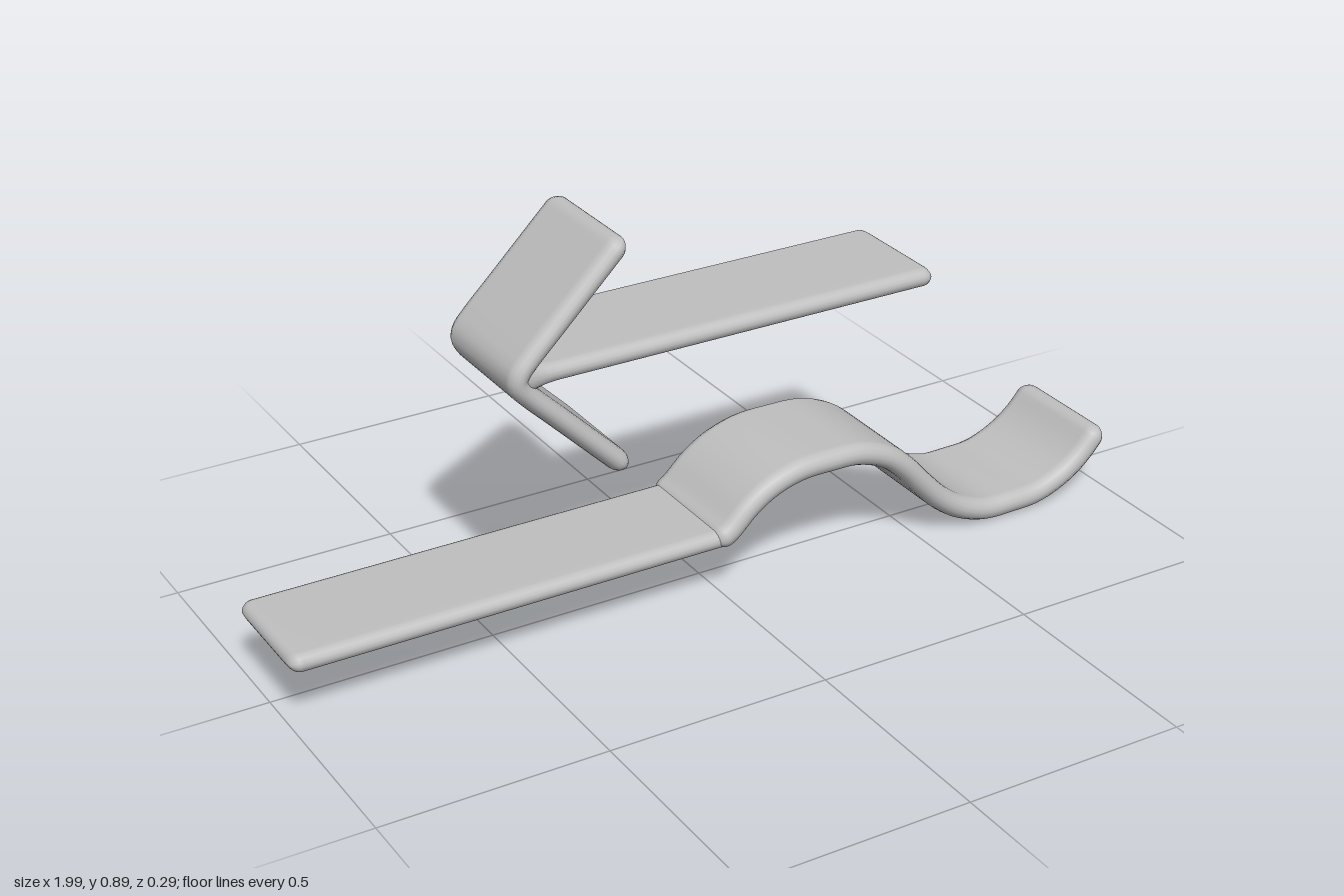
import * as THREE from 'three';

const HALF_PI = Math.PI / 2;

// Sweeps a soft-edged strip along a path in the xy plane, with rounded ends.
// thickness is a function of the distance from the start of the path.
function strip(name, points, halfWidth, thickness, round, steps, material) {
  const curve = new THREE.CatmullRomCurve3(points.map(([x, y]) => new THREE.Vector3(x, y, 0)));
  curve.arcLengthDivisions = 600;
  const length = curve.getLength();

  // Stations: distance along the path and how far the end rounding has opened
  const stations = [];
  const capSteps = 6;
  for (let i = 0; i < capSteps; i++) {
    const a = (i / capSteps) * HALF_PI;
    stations.push([round * (1 - Math.cos(a)), Math.sin(a)]);
  }
  const ends = stations.map(([d, open]) => [length - d, open]).reverse();
  for (let i = 0; i <= steps; i++) stations.push([round + (length - 2 * round) * (i / steps), 1]);
  stations.push(...ends);

  // Cross-section: flat faces with elliptical side edges
  const section = [];
  const arc = 8;
  for (const side of [1, -1]) {
    for (let i = 0; i <= arc; i++) {
      const a = -HALF_PI + (i / arc) * Math.PI;
      section.push([side, Math.cos(a), side * Math.sin(a)]);
    }
  }

  const positions = [];
  const index = [];
  const n = section.length;
  stations.forEach(([d, open], s) => {
    const u = THREE.MathUtils.clamp(d / length, 0, 1);
    const p = curve.getPointAt(u);
    const t = curve.getTangentAt(u);
    const half = (thickness(d) / 2) * open;
    const w = halfWidth - round * (1 - open);
    section.forEach(([side, out, up], j) => {
      positions.push(p.x - t.y * half * up, p.y + t.x * half * up, side * (w - round + round * out));
      if (s < stations.length - 1) {
        const a = s * n + j;
        const b = s * n + ((j + 1) % n);
        index.push(a, a + n, b, b, a + n, b + n);
      }
    });
  });

  const geometry = new THREE.BufferGeometry();
  geometry.setAttribute('position', new THREE.Float32BufferAttribute(positions, 3));
  geometry.setIndex(index);
  geometry.computeVertexNormals();
  const mesh = new THREE.Mesh(geometry, material);
  mesh.name = name;
  return mesh;
}

export function createModel() {
  const group = new THREE.Group();
  group.name = 'arrowAndWave';
  const grey = new THREE.MeshStandardMaterial({ color: 0xbfbfbf });
  grey.name = 'plain grey';

  // Lower ribbon: flat strip running into the wave
  group.add(strip('flatStrip', [[-1, 0.152], [0.01, 0.152]], 0.137, () => 0.042, 0.025, 20, grey));
  group.add(strip('waveStrip', [
    [-0.035, 0.145], [0.0, 0.164], [0.05, 0.21], [0.1, 0.242], [0.17, 0.264], [0.25, 0.267],
    [0.33, 0.262], [0.4, 0.235], [0.45, 0.195], [0.5, 0.14], [0.55, 0.09], [0.6, 0.056],
    [0.67, 0.032], [0.74, 0.03], [0.81, 0.034], [0.88, 0.06], [0.93, 0.095], [0.985, 0.155],
  ], 0.146, () => 0.053, 0.03, 80, grey));

  // Arrow shaft, flaring where it meets the head
  const shaftThickness = (d) => 0.042 + 0.06 * Math.max(0, 1 - d / 0.1) ** 2;
  group.add(strip('arrowShaft', [[-0.495, 0.641], [0.5, 0.641]], 0.138, shaftThickness, 0.025, 60, grey));

  // Arrow head: one strip bent at the tip
  const wing = [[-0.245, 0.892], [-0.32, 0.818], [-0.4, 0.739], [-0.46, 0.68], [-0.48, 0.657]];
  const headPath = [
    ...wing,
    [-0.486, 0.64],
    ...wing.map(([x, y]) => [x, 1.28 - y]).reverse(),
  ];
  group.add(strip('arrowHead', headPath, 0.146, () => 0.046, 0.03, 70, grey));

  return group;
}
